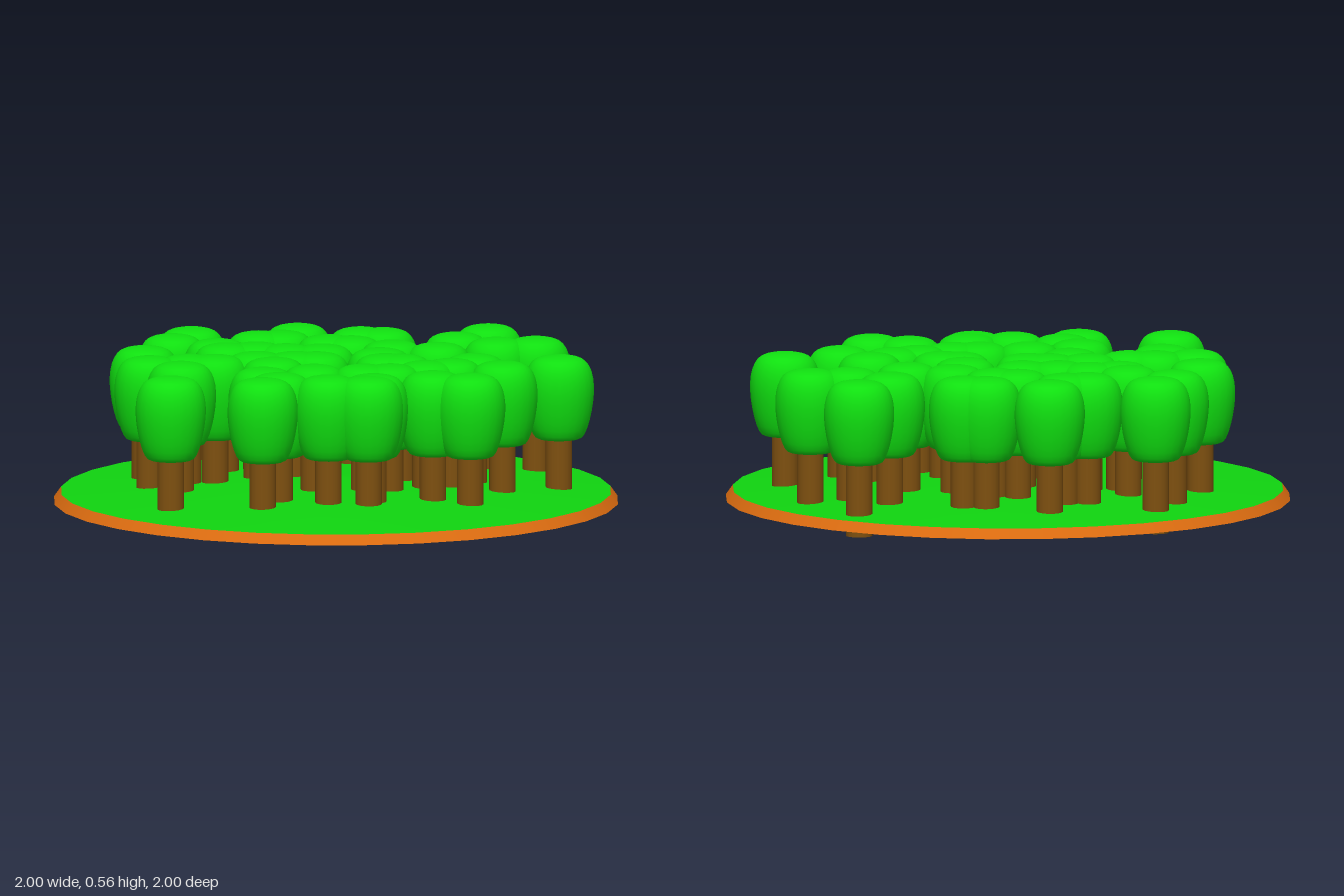
import * as THREE from 'three';

const mat = (name, color, side = THREE.FrontSide) => {
  const m = new THREE.MeshStandardMaterial({ color, side });
  m.name = name;
  return m;
};

// Tree positions on the ground, as x, z pairs
const TREES = [
  [-0.31, -0.73], [-0.42, -0.6], [0.07, -0.69], [-0.11, -0.57], [-0.03, -0.56],
  [0.26, -0.55], [0.33, -0.51], [0.71, -0.48], [-0.59, -0.38], [-0.3, -0.45],
  [0.55, -0.34], [-0.3, -0.35], [0.1, -0.42], [0.17, -0.37], [-0.19, -0.34],
  [-0.1, -0.27], [0.02, -0.23], [0.28, -0.24], [-0.64, -0.16], [-0.5, -0.15],
  [-0.41, -0.12], [-0.57, -0.01], [-0.25, -0.14], [-0.12, -0.1], [-0.05, -0.07],
  [-0.23, 0], [0.19, -0.09], [0.42, -0.14], [0.65, -0.19], [0.79, -0.17],
  [0.17, 0.04], [0.22, 0.07], [0.47, 0.13], [0.36, 0.21], [0.75, 0.24],
  [0.52, 0.31], [-0.33, 0.2], [-0.14, 0.19], [0.03, 0.24], [0.12, 0.26],
  [0.26, 0.23], [-0.31, 0.33], [-0.4, 0.42], [-0.16, 0.43], [-0.03, 0.49],
  [0, 0.45], [0.22, 0.45], [0.33, 0.54], [-0.7, 0.29],
];

// Surface of revolution from [radius, height] pairs, bottom to top
const lathe = (points, segments) =>
  new THREE.LatheGeometry(points.map(([r, y]) => new THREE.Vector2(r, y)), segments);

export function createModel() {
  const grass = mat('grass green', 0x10d410, THREE.DoubleSide);
  const earth = mat('earth orange', 0xdc6c10, THREE.DoubleSide);
  const bark = mat('bark brown', 0x7e5010);
  const leaf = mat('leaf green', 0x10e010);

  const model = new THREE.Group();
  model.name = 'grove';
  const add = (parent, name, geometry, material) => {
    const mesh = new THREE.Mesh(geometry, material);
    mesh.name = name;
    parent.add(mesh);
    return mesh;
  };

  // Shallow open mound with a sloping rim
  add(model, 'ground', lathe([[0.975, 0.07], [0.5, 0.1], [0, 0.122]], 32), grass);
  add(model, 'groundRim', lathe([[1, 0.035], [0.975, 0.07]], 32), earth);

  // Shared tree parts: a plain trunk and a barrel-shaped crown
  const trunk = new THREE.CylinderGeometry(0.047, 0.047, 0.3, 16).translate(0, 0.15, 0);
  const crownCurve = new THREE.SplineCurve([
    [0, 0.255], [0.065, 0.257], [0.092, 0.275], [0.113, 0.34], [0.124, 0.42],
    [0.119, 0.485], [0.098, 0.53], [0.06, 0.55], [0, 0.555],
  ].map(([r, y]) => new THREE.Vector2(r, y)));
  const profile = crownCurve.getPoints(20).map((p) => [Math.max(p.x, 0), p.y]);
  const crown = lathe(profile, 24);

  TREES.forEach(([x, z], i) => {
    const tree = new THREE.Group();
    tree.name = `tree${i + 1}`;
    tree.position.set(x, 0, z);
    add(tree, 'trunk', trunk, bark);
    add(tree, 'crown', crown, leaf);
    model.add(tree);
  });
  return model;
}
